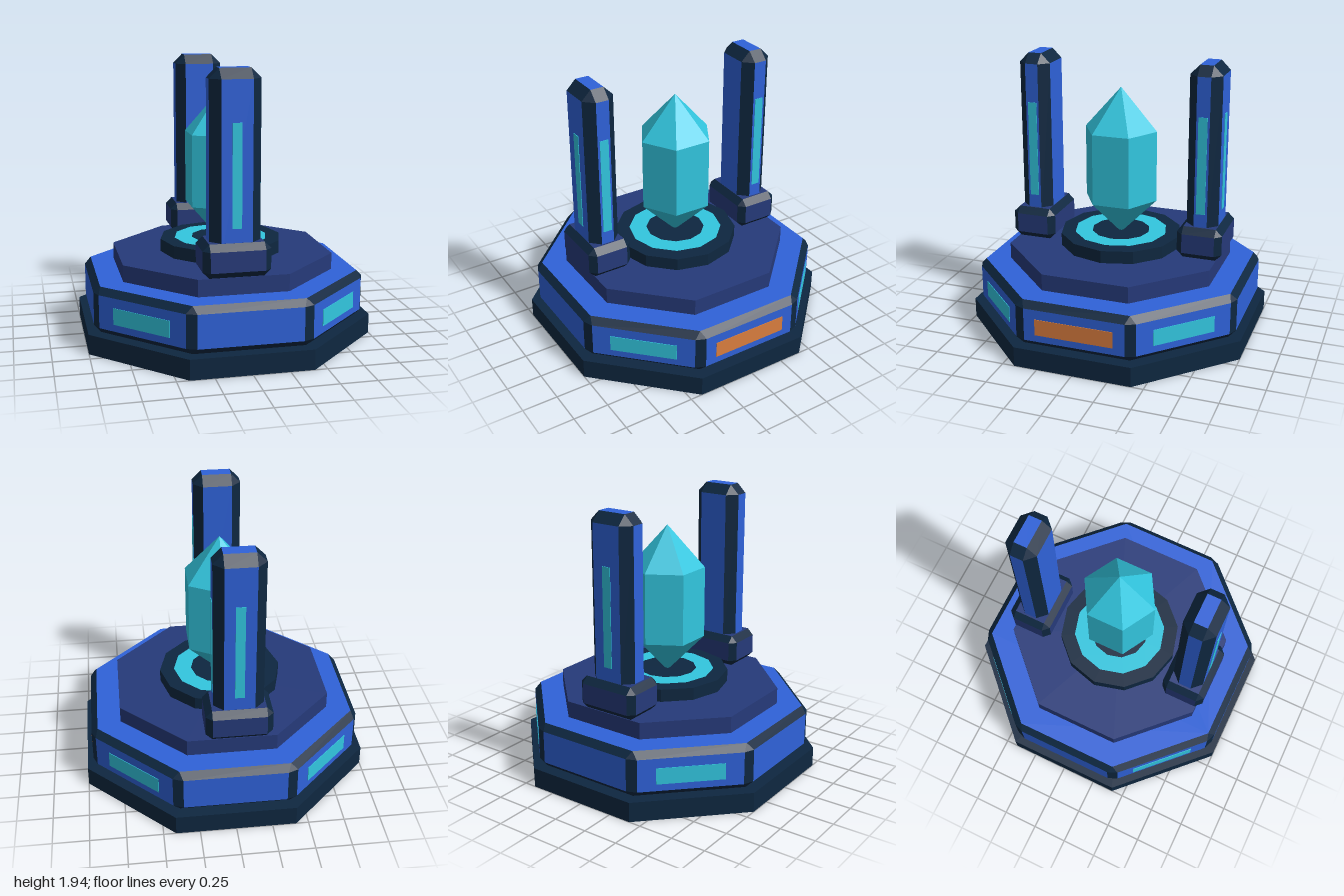
import * as THREE from 'three';

const mat = (name, color) => {
  const m = new THREE.MeshStandardMaterial({ color, flatShading: true });
  m.name = name;
  return m;
};

export function createModel() {
  const dark = mat('darkTrim', 0x0e2740);
  const blue = mat('bluePanel', 0x2f62d9);
  const navy = mat('navyPanel', 0x263a7a);
  const cyan = mat('cyanGlow', 0x32c6df);
  const orange = mat('orangePanel', 0xdb7e3f);

  const model = new THREE.Group();
  model.name = 'crystalShrine';

  const add = (parent, name, geometry, material, x = 0, y = 0, z = 0) => {
    const mesh = new THREE.Mesh(geometry, material);
    mesh.name = name;
    mesh.position.set(x, y, z);
    parent.add(mesh);
    return mesh;
  };

  // Prism with every edge chamfered by c; chamfers and faces get separate materials.
  // poly: cap outline as [x, z], anticlockwise from above; pull shortens the side faces.
  const chamferedPrism = (poly, y0, y1, c, pull = 0) => {
    const panels = [], trim = [];
    const tri = (list, ...pts) => pts.forEach(p => list.push(...p));
    const quad = (list, a, b, d, e) => tri(list, a, b, d, a, d, e);
    const at = ([x, z], y) => [x, y, z];
    const lo = y0 + c, hi = y1 - c, n = poly.length;
    const faces = poly.map((a, i) => {
      const b = poly[(i + 1) % n];
      const len = Math.hypot(b[0] - a[0], b[1] - a[1]);
      const dx = (b[0] - a[0]) / len, dz = (b[1] - a[1]) / len;
      return {
        a, b,
        fa: [a[0] + dx * pull - dz * c, a[1] + dz * pull + dx * c],
        fb: [b[0] - dx * pull - dz * c, b[1] - dz * pull + dx * c],
      };
    });
    faces.forEach(({ a, b, fa, fb }, i) => {
      const next = faces[(i + 1) % n].fa;
      quad(panels, at(fa, lo), at(fb, lo), at(fb, hi), at(fa, hi));
      quad(trim, at(fa, hi), at(fb, hi), at(b, y1), at(a, y1));
      quad(trim, at(a, y0), at(b, y0), at(fb, lo), at(fa, lo));
      quad(trim, at(fb, lo), at(next, lo), at(next, hi), at(fb, hi));
      tri(trim, at(fb, hi), at(next, hi), at(b, y1));
      tri(trim, at(b, y0), at(next, lo), at(fb, lo));
      if (i > 0 && i < n - 1) {
        tri(panels, at(poly[0], y1), at(a, y1), at(b, y1));
        tri(panels, at(poly[0], y0), at(b, y0), at(a, y0));
      }
    });
    const g = new THREE.BufferGeometry();
    g.setAttribute('position', new THREE.Float32BufferAttribute([...panels, ...trim], 3));
    g.addGroup(0, panels.length / 3, 0);
    g.addGroup(panels.length / 3, trim.length / 3, 1);
    g.computeVertexNormals();
    return g;
  };

  const rect = (hx, hz) => [[-hx, hz], [hx, hz], [hx, -hz], [-hx, -hz]];
  const octRadius = apothem => apothem / Math.cos(Math.PI / 8);
  const octagon = apothem => Array.from({ length: 8 }, (_, i) => {
    const t = (i - 0.5) * Math.PI / 4, r = octRadius(apothem);
    return [r * Math.sin(t), r * Math.cos(t)];
  });
  const octSlab = (apothem, h) =>
    new THREE.CylinderGeometry(octRadius(apothem), octRadius(apothem), h, 8, 1, false, Math.PI / 8);

  // Stepped octagonal platform
  add(model, 'basePlinth', octSlab(1, 0.14), dark, 0, 0.07, 0);
  add(model, 'platformBody', chamferedPrism(octagon(0.91), 0.14, 0.462, 0.045, 0.022), [blue, dark]);
  add(model, 'upperTier', octSlab(0.745, 0.12), navy, 0, 0.52, 0);

  // Inset plates: cyan on the diagonal faces, orange on one side
  const sidePlate = (name, angle, width, material) => {
    const r = 0.955;
    const plate = add(model, name, new THREE.BoxGeometry(width, 0.115, 0.008), material,
      r * Math.sin(angle), 0.292, r * Math.cos(angle));
    plate.rotation.y = angle;
  };
  for (let i = 0; i < 4; i++) sidePlate('cyanPlate', Math.PI / 4 + i * Math.PI / 2, 0.46, cyan);
  sidePlate('orangePlate', Math.PI / 2, 0.55, orange);

  // Round pedestal with glowing ring
  add(model, 'pedestal', new THREE.CylinderGeometry(0.437, 0.437, 0.09, 12), dark, 0, 0.625, 0);
  add(model, 'glowRing', new THREE.RingGeometry(0.21, 0.335, 12), cyan, 0, 0.674, 0)
    .rotation.x = -Math.PI / 2;

  // Six-sided crystal
  const crystal = new THREE.Group();
  crystal.name = 'crystal';
  const crystalPart = (name, top, bottom, y0, y1) => add(crystal, name,
    new THREE.CylinderGeometry(top, bottom, y1 - y0, 6, 1, true), cyan, 0, (y0 + y1) / 2, 0);
  crystalPart('crystalTip', 0, 0.265, 1.43, 1.73);
  crystalPart('crystalShaft', 0.265, 0.265, 0.92, 1.43);
  crystalPart('crystalPoint', 0.265, 0, 0.65, 0.92);
  model.add(crystal);

  // Front and back pylons with light strips on the outer face and the +x face
  for (const side of [1, -1]) {
    const pylon = new THREE.Group();
    pylon.name = side > 0 ? 'frontPylon' : 'backPylon';
    pylon.position.set(-0.048, 0, 0.622 * side);
    add(pylon, 'pylonFoot', chamferedPrism(rect(0.185, 0.116), 0.58, 0.81, 0.045), [navy, dark]);
    add(pylon, 'pylonShaft', chamferedPrism(rect(0.105, 0.047), 0.66, 1.937, 0.067), [blue, dark]);
    add(pylon, 'outerStrip', new THREE.BoxGeometry(0.064, 0.69, 0.008), cyan, 0, 1.25, 0.114 * side);
    add(pylon, 'sideStrip', new THREE.BoxGeometry(0.008, 0.69, 0.064), cyan, 0.172, 1.25, 0);
    model.add(pylon);
  }

  return model;
}
